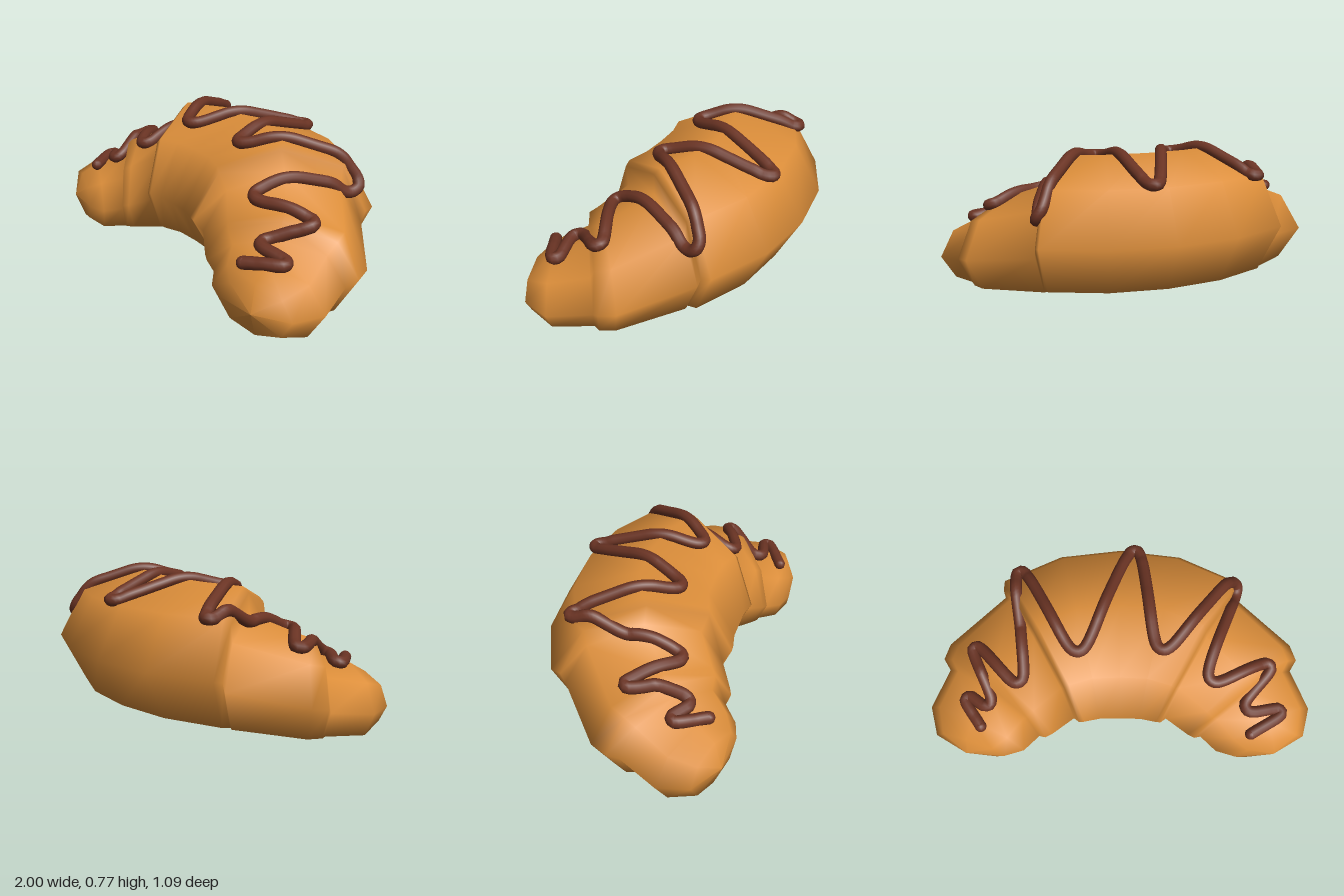
import * as THREE from 'three';

const SIDES = 8;

// Half of the rolled body, centre to tip: [outer x, outer z, inner x, inner z, centre y, half height]
const HALF = [
  [0, -0.55, 0, 0.39, 0.375, 0.355],
  [0.32, -0.51, 0.1, 0.39, 0.375, 0.355],
  [0.62, -0.37, 0.18, 0.405, 0.37, 0.355],
  [0.625, -0.32, 0.205, 0.405, 0.36, 0.335],
  [0.62, -0.3, 0.235, 0.37, 0.305, 0.29],
  [0.91, -0.05, 0.35, 0.44, 0.25, 0.25],
  [0.94, 0.03, 0.385, 0.455, 0.24, 0.24],
  [0.91, 0.08, 0.42, 0.44, 0.205, 0.2],
  [1.0, 0.28, 0.5, 0.51, 0.18, 0.18],
  [0.96, 0.43, 0.6, 0.54, 0.18, 0.125],
  [0.8, 0.525, 0.8, 0.525, 0.18, 0],
];

// Sweep of rings standing in vertical planes that fan around the curve
function bodyGeometry() {
  const mirrored = HALF.slice(1).reverse().map(([ox, oz, ix, iz, y, r]) => [-ox, oz, -ix, iz, y, r]);
  const stations = [...mirrored, ...HALF];
  const pos = [], index = [];
  stations.forEach(([ox, oz, ix, iz, cy, ry], i) => {
    for (let j = 0; j < SIDES; j++) {
      const a = (j / SIDES) * Math.PI * 2, c = Math.cos(a);
      pos.push((ox + ix) / 2 + c * (ox - ix) / 2, cy + ry * Math.sin(a), (oz + iz) / 2 + c * (oz - iz) / 2);
      if (i === stations.length - 1) continue;
      const k = (j + 1) % SIDES, p = i * SIDES, q = p + SIDES;
      if (i > 0) index.push(p + j, p + k, q + j);
      else index.push(p + j, q + k, q + j);
      if (i > 0 && i < stations.length - 2) index.push(p + k, q + k, q + j);
    }
  });
  const g = new THREE.BufferGeometry();
  g.setAttribute('position', new THREE.Float32BufferAttribute(pos, 3));
  g.setIndex(index);
  g.computeVertexNormals();
  return g;
}

// Zigzag turning points of the drizzle, seen from above
const ZIGZAG = [
  [-0.7, 0.43], [-0.81, 0.25], [-0.63, 0.36], [-0.76, 0.01], [-0.48, 0.28], [-0.52, -0.35],
  [-0.2, 0.18], [0.08, -0.46], [0.19, 0.17], [0.62, -0.33], [0.42, 0.26], [0.79, 0.11],
  [0.6, 0.36], [0.86, 0.33], [0.66, 0.46],
];

// Rounds the turns, then drapes the path over the body
function drizzlePath(body) {
  const v = ZIGZAG.map(([x, z]) => new THREE.Vector3(x, 0, z));
  const pts = [v[0]];
  for (let i = 1; i < v.length - 1; i++) {
    for (const n of [v[i - 1], v[i + 1]]) {
      const d = n.clone().sub(v[i]);
      pts.push(v[i].clone().addScaledVector(d.normalize(), 0.05));
    }
  }
  pts.push(v[v.length - 1]);
  const flat = new THREE.CatmullRomCurve3(pts, false, 'centripetal').getSpacedPoints(170);
  const ray = new THREE.Raycaster();
  const down = new THREE.Vector3(0, -1, 0);
  let last = 0.34;
  const heights = flat.map((p) => {
    ray.set(new THREE.Vector3(p.x, 2, p.z), down);
    const hit = ray.intersectObject(body)[0];
    if (hit) last = hit.point.y;
    return last + 0.018;
  });
  const draped = flat.map((p, i) => {
    const near = heights.slice(Math.max(0, i - 2), i + 3);
    const y = near.reduce((s, h) => s + h, 0) / near.length;
    return new THREE.Vector3(p.x, y, p.z);
  });
  return new THREE.CatmullRomCurve3(draped, false, 'centripetal');
}

export function createModel() {
  const pastry = new THREE.MeshStandardMaterial({ color: 0xdc8e3a });
  pastry.name = 'golden pastry';
  const chocolate = new THREE.MeshStandardMaterial({ color: 0x6b3424 });
  chocolate.name = 'chocolate';

  const model = new THREE.Group();
  model.name = 'croissant';

  const body = new THREE.Mesh(bodyGeometry(), pastry);
  body.name = 'body';
  model.add(body);

  const drizzle = new THREE.Group();
  drizzle.name = 'drizzle';
  const path = drizzlePath(body);
  const strand = new THREE.Mesh(new THREE.TubeGeometry(path, 400, 0.03, 10), chocolate);
  strand.name = 'drizzleStrand';
  drizzle.add(strand);
  // Rounded ends of the strand
  for (const t of [0, 1]) {
    const end = new THREE.Mesh(new THREE.SphereGeometry(0.03, 10, 8), chocolate);
    end.position.copy(path.getPoint(t));
    end.name = 'drizzleEnd';
    drizzle.add(end);
  }
  model.add(drizzle);
  return model;
}
